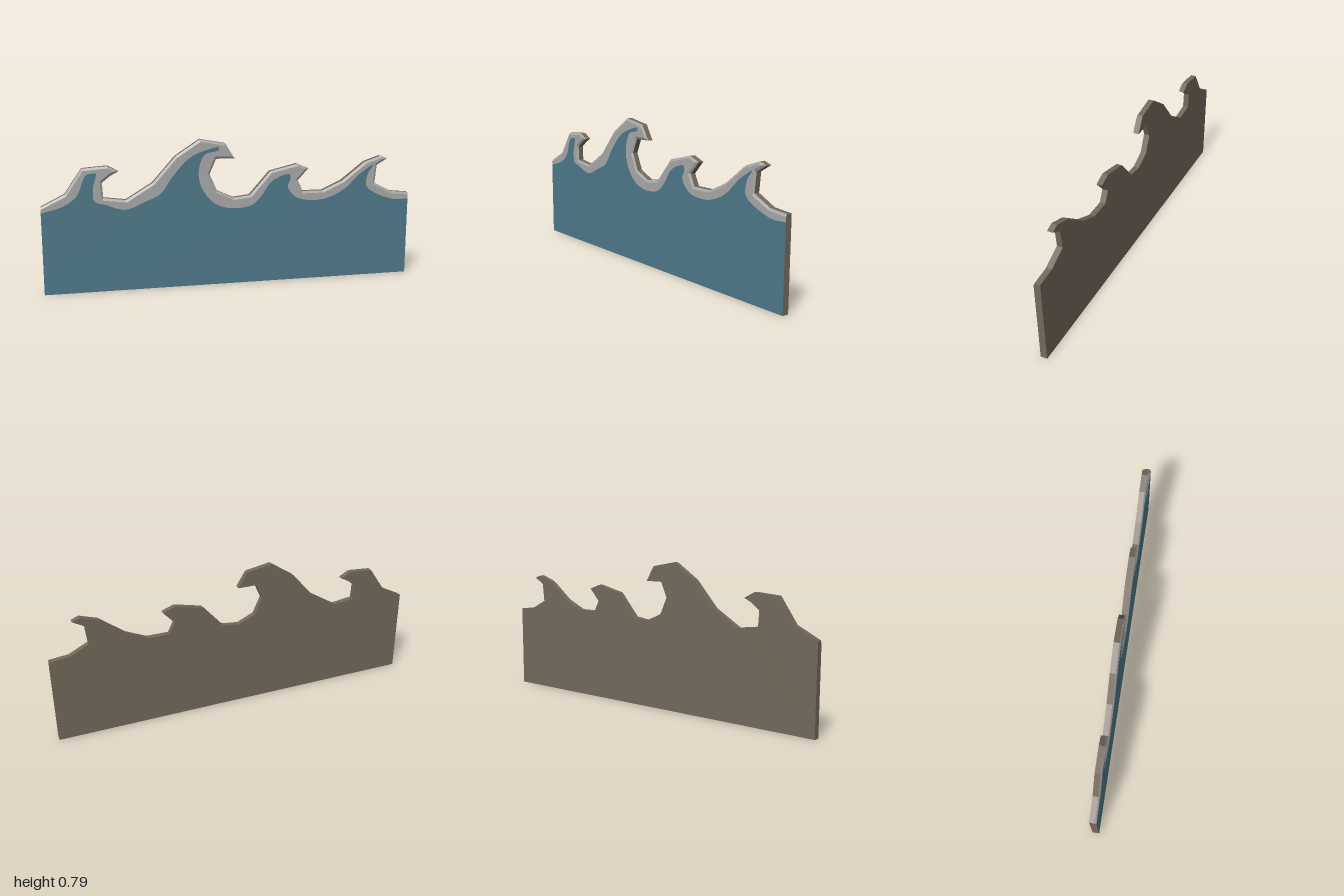
import * as THREE from 'three';

const BACK = -0.018, RIM = 0.011, FRONT = 0.018, BEVEL = 0.012;

// Faceted crest of the board, left to right
const crest = [
  [-1, .46], [-.88, .52], [-.79, .65], [-.66, .66], [-.605, .63], [-.645, .61], [-.69, .575], [-.685, .495],
  [-.57, .48], [-.43, .565], [-.31, .70], [-.18, .785], [-.045, .76], [.005, .68], [-.095, .68], [-.13, .60],
  [-.09, .51], [0, .47], [.09, .48], [.20, .605], [.35, .64], [.415, .615], [.355, .55], [.385, .49],
  [.50, .49], [.61, .54], [.74, .64], [.83, .67], [.87, .655], [.81, .62], [.80, .52], [.90, .47], [1, .46],
].map(([x, y]) => new THREE.Vector2(x, y));

// Smooth top edge of the water, left to right
const waterLine = [
  [-1, .43], [-.89, .46], [-.82, .51], [-.783, .596], [-.767, .618], [-.72, .623], [-.72, .607], [-.735, .553],
  [-.73, .479], [-.675, .46], [-.575, .43], [-.475, .467], [-.393, .505], [-.323, .60], [-.233, .692],
  [-.142, .73], [-.083, .741], [-.083, .725], [-.158, .703], [-.19, .60], [-.163, .51], [-.10, .441],
  [-.013, .414], [.094, .425], [.147, .468], [.21, .553], [.307, .586], [.313, .559], [.297, .521],
  [.34, .463], [.41, .441], [.516, .446], [.623, .495], [.703, .57], [.789, .623], [.757, .575],
  [.751, .505], [.82, .457], [.917, .425], [1, .425],
].map(([x, y]) => new THREE.Vector3(x, y, 0));

// Mitred offset of the crest towards the inside of the board
function inset(points, distance) {
  return points.map((p, i) => {
    if (i === 0 || i === points.length - 1) return new THREE.Vector2(p.x, p.y - distance);
    const normal = (a, b) => new THREE.Vector2(b.y - a.y, a.x - b.x).normalize();
    const n1 = normal(points[i - 1], p), n2 = normal(p, points[i + 1]);
    const mitre = n1.clone().add(n2).normalize();
    return p.clone().addScaledVector(mitre, distance / Math.max(mitre.dot(n1), 0.4));
  });
}

// Closed silhouette from the bottom edge up to a top line
const silhouette = (top) => new THREE.Shape([
  new THREE.Vector2(-1, 0), new THREE.Vector2(1, 0), ...top.slice().reverse(),
]);

// Strip of quads from the rim up to the front face
function bevelStrip(outer, inner) {
  const pos = [];
  for (let i = 0; i < outer.length - 1; i++) {
    const a = [outer[i].x, outer[i].y, RIM], b = [outer[i + 1].x, outer[i + 1].y, RIM];
    const c = [inner[i + 1].x, inner[i + 1].y, FRONT], d = [inner[i].x, inner[i].y, FRONT];
    pos.push(...d, ...c, ...b, ...d, ...b, ...a);
  }
  const geo = new THREE.BufferGeometry();
  geo.setAttribute('position', new THREE.Float32BufferAttribute(pos, 3));
  geo.computeVertexNormals();
  return geo;
}

export function createModel() {
  const group = new THREE.Group();
  const material = (name, color) => {
    const m = new THREE.MeshStandardMaterial({ color });
    m.name = name;
    return m;
  };
  const wood = material('woodBrown', 0x73695b);
  const foam = material('foamGrey', 0xa9a9a9);
  const water = material('waterBlue', 0x4f7a8b);
  const add = (name, geo, mat, z = 0) => {
    const mesh = new THREE.Mesh(geo, mat);
    mesh.name = name;
    mesh.position.z = z;
    group.add(mesh);
  };

  const inner = inset(crest, BEVEL);
  const line = new THREE.CatmullRomCurve3(waterLine, false, 'centripetal')
    .getPoints(160).map((p) => new THREE.Vector2(p.x, p.y));

  // Board body and its raised front layer
  add('boardBody', new THREE.ExtrudeGeometry(silhouette(crest), { depth: RIM - BACK, bevelEnabled: false }), wood, BACK);
  add('boardFrontLayer', new THREE.ExtrudeGeometry(silhouette(inner), { depth: FRONT - RIM - 0.001, bevelEnabled: false }), wood, RIM);

  // Foam along the crest: sloping edge and flat band
  add('foamEdge', bevelStrip(crest, inner), foam);
  add('foamBand', new THREE.ShapeGeometry(new THREE.Shape([...line, ...inner.slice().reverse()])), foam, FRONT);

  // Painted water face
  add('waterFace', new THREE.ShapeGeometry(silhouette(line)), water, FRONT);

  return group;
}
